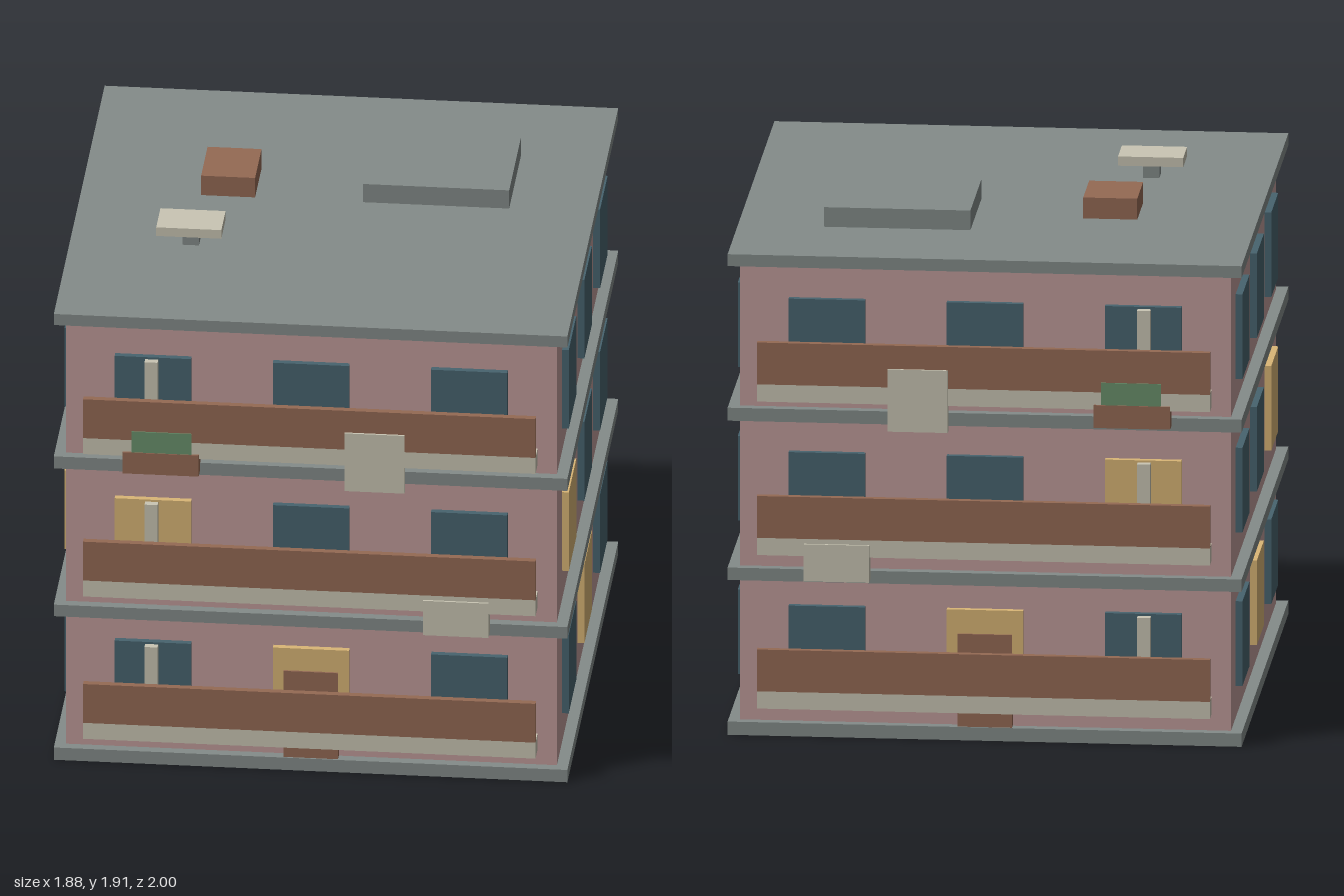
import * as THREE from 'three';

const material = (color) => new THREE.MeshStandardMaterial({ color, flatShading: true });
const pink = material(0xc09c9a);
const concrete = material(0x848c8a);
const glass = material(0x48646f);
const litGlass = material(0xdab676);
const brown = material(0x956a54);
const cream = material(0xcac6b4);
const green = material(0x6a916c);

// Box given by its extents on each axis
function box(parent, name, mat, [x0, x1], [y0, y1], [z0, z1]) {
  const mesh = new THREE.Mesh(new THREE.BoxGeometry(x1 - x0, y1 - y0, z1 - z0), mat);
  mesh.position.set((x0 + x1) / 2, (y0 + y1) / 2, (z0 + z1) / 2);
  mesh.name = name;
  parent.add(mesh);
}

// Extent on the positive or negative side of an axis
const onSide = (side, a, b) => (side > 0 ? [a, b] : [-b, -a]);

export function createModel() {
  const model = new THREE.Group();
  model.name = 'apartmentBlock';

  // Walls and floor slabs
  box(model, 'walls', pink, [-0.9, 0.9], [0.02, 1.79], [-0.907, 0.907]);
  [[0, 0.05], [0.585, 0.632], [1.187, 1.236], [1.771, 1.816]].forEach((y, i) =>
    box(model, i === 3 ? 'roofSlab' : 'floorSlab', concrete, [-0.942, 0.942], y, [-0.943, 0.943]));

  const columns = [-0.58, 0, 0.58];
  for (const side of [1, -1]) {
    const facade = new THREE.Group();
    facade.name = side > 0 ? 'frontFacade' : 'backFacade';
    const gable = new THREE.Group();
    gable.name = side > 0 ? 'leftGable' : 'rightGable';
    model.add(facade, gable);
    const z = (a, b) => onSide(side, a, b);

    for (let floor = 0; floor < 3; floor++) {
      const y = floor * 0.58;

      // Windows, some of them lit
      const windowY = [y + 0.17, y + 0.49];
      columns.forEach((c, i) => {
        const lit = (floor === 0 && i === 1) || (floor === 1 && i === 0);
        const litGable = (floor === 0 && i === 1) || (floor === 1 && i === 2);
        box(facade, 'window', lit ? litGlass : glass, [c - 0.14, c + 0.14], windowY, z(0.9, 0.93));
        box(gable, 'window', litGable ? litGlass : glass,
          onSide(side, 0.89, 0.925), windowY, [c - 0.14, c + 0.14]);
      });

      // Curtain and balcony
      box(facade, 'curtain', cream, [-0.608, -0.56], [y + 0.18, y + 0.482], z(0.925, 0.956));
      box(facade, 'balconyLedge', cream, [-0.83, 0.83], [y + 0.115, y + 0.18], z(0.915, 0.992));
      box(facade, 'balconyPanel', brown, [-0.83, 0.83], [y + 0.18, y + 0.338], z(0.967, 0.992));
    }

    // Entrance door, cooling unit, hanging cloth and planter
    box(facade, 'door', brown, [-0.1, 0.1], [0.05, 0.4], z(0.905, 0.937));
    box(facade, 'coolingUnit', cream, [0.418, 0.658], [0.602, 0.742], z(0.944, 1));
    box(facade, 'hangingCloth', cream, [0.13, 0.35], [1.175, 1.41], z(0.972, 1));
    box(facade, 'planter', brown, [-0.685, -0.405], [1.207, 1.293], z(0.935, 0.999));
    box(facade, 'plants', green, [-0.652, -0.432], [1.293, 1.377], z(0.943, 0.996));
  }

  // Roof equipment
  const roof = new THREE.Group();
  roof.name = 'roofEquipment';
  model.add(roof);
  box(roof, 'roofHatch', concrete, [0.09, 0.627], [1.81, 1.89], [-0.525, -0.083]);
  box(roof, 'chimney', brown, [-0.503, -0.305], [1.81, 1.895], [-0.322, -0.083]);
  box(roof, 'ventStem', concrete, [-0.53, -0.47], [1.81, 1.872], [0.268, 0.33]);
  box(roof, 'ventCap', cream, [-0.622, -0.383], [1.872, 1.907], [0.222, 0.38]);

  return model;
}
